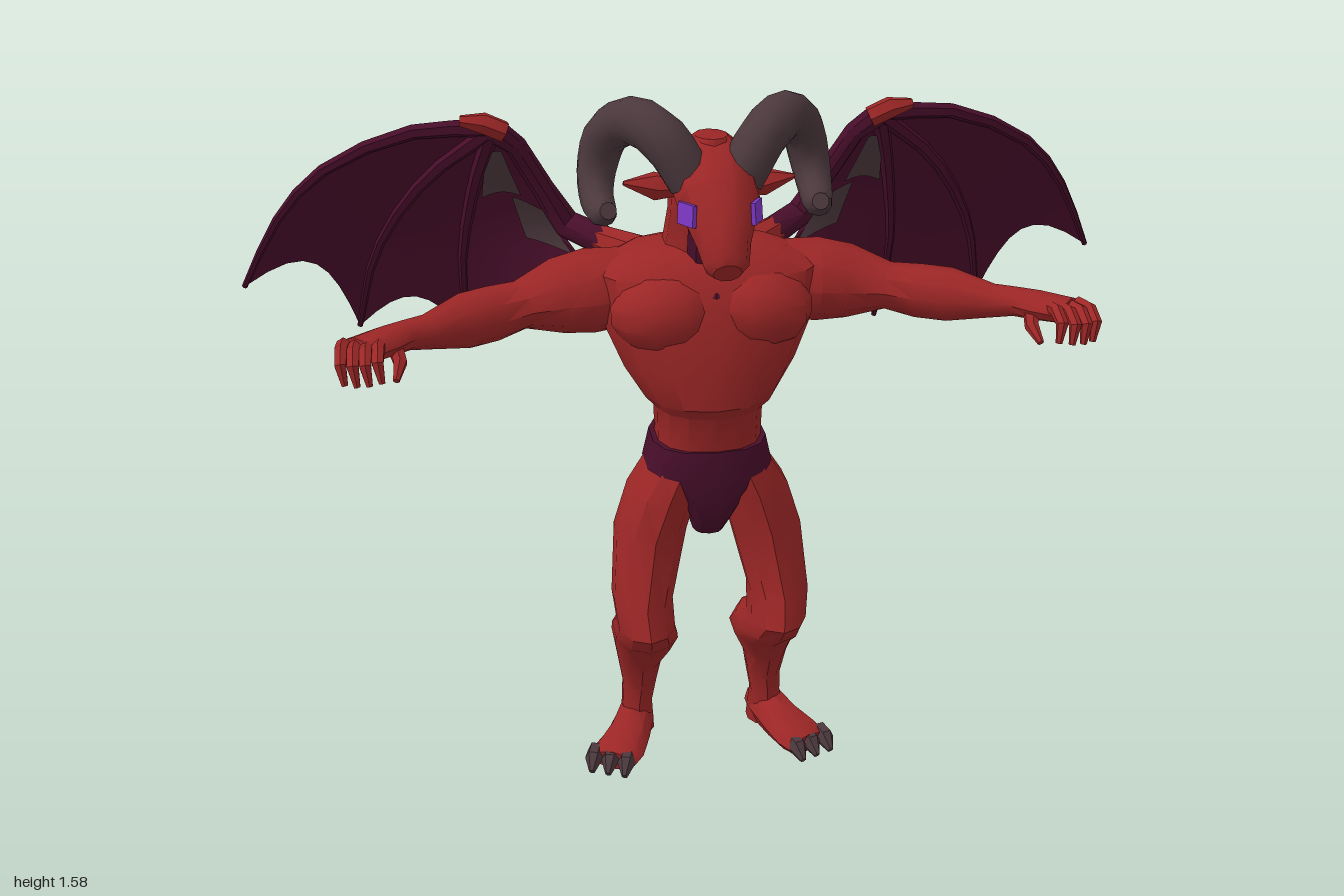
import * as THREE from 'three';
import { toCreasedNormals } from 'three/addons/utils/BufferGeometryUtils.js';

const V = (x, y, z) => new THREE.Vector3(x, y, z);
const X = V(1, 0, 0), Y = V(0, 1, 0), Z = V(0, 0, 1);

function material(name, color, side = THREE.FrontSide) {
  const m = new THREE.MeshStandardMaterial({ color, side });
  m.name = name;
  return m;
}

// Closed skin over a list of equal rings, capped at both ends
function loft(rings) {
  const n = rings[0].length, last = rings.length - 1, pos = [], idx = [];
  rings.forEach(r => r.forEach(p => pos.push(p.x, p.y, p.z)));
  for (const r of [rings[0], rings[last]]) {
    const c = r.reduce((s, p) => s.add(p), V(0, 0, 0)).divideScalar(n);
    pos.push(c.x, c.y, c.z);
  }
  const c0 = n * (last + 1);
  for (let j = 0; j < n; j++) {
    const k = (j + 1) % n;
    for (let i = 0; i < last; i++) {
      const a = i * n + j, b = i * n + k;
      idx.push(a, b, b + n, a, b + n, a + n);
    }
    idx.push(c0, k, j, c0 + 1, last * n + j, last * n + k);
  }
  const g = new THREE.BufferGeometry();
  g.setAttribute('position', new THREE.Float32BufferAttribute(pos, 3));
  g.setIndex(idx);
  return g;
}

// Upright form from level sections: [y, cx, cz, rx, rz], bottom to top
function column(rows, n = 12, power = 1) {
  const f = v => Math.sign(v) * Math.abs(v) ** power;
  return loft(rows.map(([y, cx, cz, rx, rz]) => Array.from({ length: n }, (_, j) => {
    const a = (j / n) * Math.PI * 2;
    return V(cx + rx * f(Math.sin(a)), y, cz + rz * f(Math.cos(a)));
  })));
}

// Form along a path: [x, y, z, side radius, up radius]
function limb(rows, n = 8, up = Y) {
  const P = rows.map(r => V(r[0], r[1], r[2]));
  return loft(rows.map(([, , , ra, rb = ra], i) => {
    const t = P[Math.min(i + 1, P.length - 1)].clone().sub(P[Math.max(i - 1, 0)]).normalize();
    const u = up.clone().cross(t).normalize(), v = t.clone().cross(u);
    return Array.from({ length: n }, (_, j) => {
      const a = (j / n) * Math.PI * 2;
      return P[i].clone().addScaledVector(u, ra * Math.cos(a)).addScaledVector(v, rb * Math.sin(a));
    });
  }));
}

// Resample limb rows along a smooth curve
function smooth(rows, n) {
  const c = new THREE.CatmullRomCurve3(rows.map(r => V(r[0], r[1], r[2])));
  const w = new THREE.CatmullRomCurve3(rows.map((r, i) => V(r[3], i, 0)));
  return Array.from({ length: n + 1 }, (_, i) => [...c.getPoint(i / n).toArray(), w.getPoint(i / n).x]);
}

// Membrane between two curves with a scalloped free edge
function panel(A, B, scallop, s0 = 0, s1 = 1, t0 = 0, t1 = 1, lift = 0) {
  const N = 8, pos = [], idx = [];
  for (let i = 0; i <= N; i++) for (let j = 0; j <= N; j++) {
    const s = s0 + (s1 - s0) * i / N;
    const t = (t0 + (t1 - t0) * j / N) * (1 - scallop * 4 * s * (1 - s));
    const p = A.getPoint(t).lerp(B.getPoint(t), s);
    pos.push(p.x, p.y, p.z + lift);
    if (i < N && j < N) {
      const a = i * (N + 1) + j, b = a + N + 1;
      idx.push(a, a + 1, b + 1, a, b + 1, b);
    }
  }
  const g = new THREE.BufferGeometry();
  g.setAttribute('position', new THREE.Float32BufferAttribute(pos, 3));
  g.setIndex(idx);
  return g;
}

export function createModel() {
  const root = new THREE.Group();
  root.name = 'hornedDemon';
  const skin = material('red skin', 0x9c2626);
  const dark = material('dark wine', 0x480e2a, THREE.DoubleSide);
  const horn = material('horn grey', 0x4b383d, THREE.DoubleSide);
  const violet = material('violet eyes', 0x7c38c4);

  const add = (name, geo, mat) => {
    const m = new THREE.Mesh(toCreasedNormals(geo, 0.7), mat);
    m.name = name;
    root.add(m);
  };
  const pair = (name, geo, mat) => {
    const other = geo.clone().scale(-1, 1, 1);
    other.index.array.reverse();
    add(name + 'Left', geo, mat);
    add(name + 'Right', other, mat);
  };

  // Torso, chest and neck
  add('torso', column([
    [0.74, 0, 0.075, 0.118, 0.11], [0.82, 0, 0.085, 0.116, 0.115], [0.9, 0, 0.09, 0.118, 0.118],
    [0.93, 0, 0.09, 0.145, 0.147], [1.0, 0, 0.075, 0.19, 0.16], [1.08, 0, 0.06, 0.225, 0.168],
    [1.15, 0, 0.05, 0.24, 0.158], [1.2, 0, 0.045, 0.25, 0.142], [1.24, 0, 0.045, 0.17, 0.105],
    [1.255, 0, 0.05, 0.1, 0.07]], 14, 0.85), skin);
  pair('chestMuscle', new THREE.SphereGeometry(1, 10, 7).scale(0.118, 0.088, 0.09).translate(0.1, 1.125, 0.145), skin);
  add('neck', column([
    [1.16, 0, 0.04, 0.12, 0.12], [1.24, 0, 0.05, 0.095, 0.088], [1.33, 0, 0.08, 0.085, 0.075],
    [1.42, 0, 0.09, 0.082, 0.08], [1.475, 0, 0.11, 0.065, 0.07], [1.5, 0, 0.125, 0.035, 0.045]], 10), skin);
  add('throat', column([
    [1.17, 0, 0.15, 0.03, 0.055], [1.22, 0, 0.125, 0.05, 0.035], [1.31, 0, 0.14, 0.05, 0.035]], 8), dark);

  // Head, ears and eyes
  add('head', limb([
    [0, 1.42, 0.05, 0.06, 0.055], [0, 1.42, 0.13, 0.092, 0.085], [0, 1.385, 0.225, 0.086, 0.08],
    [0, 1.315, 0.285, 0.056, 0.056], [0, 1.28, 0.322, 0.046, 0.042], [0, 1.27, 0.335, 0.03, 0.028]], 10), skin);
  pair('ear', limb([
    [0.07, 1.385, 0.1, 0.025, 0.02], [0.115, 1.39, 0.105, 0.034, 0.03], [0.18, 1.4, 0.11, 0.005, 0.005]], 6), skin);
  const facing = new THREE.Quaternion().setFromUnitVectors(Z, V(0.9, 0.08, 0.42).normalize());
  pair('eye', new THREE.BoxGeometry(0.055, 0.045, 0.009).applyQuaternion(facing).translate(0.071, 1.374, 0.264), violet);

  // Curled horns
  pair('horn', limb(smooth([
    [0.05, 1.42, 0.18, 0.05], [0.1, 1.5, 0.165, 0.051], [0.155, 1.53, 0.11, 0.05], [0.205, 1.49, 0.05, 0.047],
    [0.226, 1.42, 0.038, 0.043], [0.232, 1.367, 0.07, 0.037], [0.227, 1.347, 0.13, 0.031],
    [0.22, 1.365, 0.185, 0.018]], 20), 10, X), horn);

  // Arms, hands and fingers
  pair('arm', limb([
    [0.16, 1.15, 0.03, 0.08, 0.085], [0.25, 1.145, 0.035, 0.1, 0.09], [0.32, 1.14, 0.045, 0.085, 0.08],
    [0.4, 1.135, 0.075, 0.063, 0.05], [0.46, 1.13, 0.105, 0.062, 0.058], [0.52, 1.13, 0.14, 0.058, 0.058],
    [0.6, 1.13, 0.195, 0.037, 0.036], [0.64, 1.135, 0.22, 0.034, 0.031], [0.68, 1.135, 0.25, 0.046, 0.03],
    [0.735, 1.135, 0.295, 0.048, 0.026]], 10), skin);
  for (let i = 0; i < 4; i++) {
    const x = 0.692 + 0.024 * i, z = (i === 0 || i === 3) ? -0.012 : 0;
    pair('finger' + (i + 1), limb([
      [x, 1.14, 0.28 + z, 0.015], [x + 0.004, 1.148, 0.335 + z, 0.014], [x + 0.006, 1.13, 0.37 + z, 0.013],
      [x, 1.09, 0.375 + z, 0.007]], 6, X), skin);
  }
  pair('thumb', limb([
    [0.665, 1.13, 0.255, 0.018], [0.655, 1.105, 0.295, 0.015], [0.665, 1.08, 0.33, 0.007]], 6, X), skin);

  // Legs, feet and toe claws
  pair('leg', column([
    [0.015, 0.155, -0.012, 0.042, 0.048], [0.1, 0.155, 0, 0.036, 0.044], [0.15, 0.15, 0.003, 0.04, 0.048],
    [0.22, 0.15, 0.012, 0.052, 0.072], [0.3, 0.14, 0.042, 0.077, 0.115], [0.34, 0.145, 0.085, 0.074, 0.125],
    [0.385, 0.15, 0.145, 0.066, 0.1], [0.45, 0.155, 0.125, 0.069, 0.096], [0.6, 0.13, 0.085, 0.082, 0.1],
    [0.7, 0.1, 0.085, 0.08, 0.112], [0.78, 0.065, 0.08, 0.062, 0.11]], 10), skin);
  pair('foot', limb([
    [0.15, 0.04, -0.055, 0.035, 0.036], [0.16, 0.05, 0, 0.045, 0.05], [0.185, 0.044, 0.07, 0.052, 0.042],
    [0.215, 0.036, 0.125, 0.062, 0.034], [0.23, 0.03, 0.155, 0.054, 0.026]], 8), skin);
  for (let i = 0; i < 3; i++) {
    const x = 0.195 + 0.036 * i, z = 0.145 - 0.016 * i;
    pair('toeClaw' + (i + 1), limb([
      [x, 0.032, z, 0.02, 0.026], [x + 0.008, 0.034, z + 0.03, 0.021, 0.024],
      [x + 0.016, 0.014, z + 0.056, 0.007, 0.01]], 6), horn);
  }

  // Briefs
  add('briefs', column([
    [0.59, 0, 0.075, 0.035, 0.055], [0.64, 0, 0.07, 0.05, 0.12], [0.7, 0, 0.075, 0.085, 0.13],
    [0.755, 0, 0.078, 0.142, 0.128], [0.82, 0, 0.08, 0.127, 0.124]], 14, 0.75), dark);

  // Wings: root, arm, finger bones, membrane
  const wrist = [0.43, 1.455, -0.165];
  pair('wingRoot', limb([
    [0.06, 1.16, -0.05, 0.05], [0.13, 1.175, -0.125, 0.042], [0.2, 1.185, -0.195, 0.035]], 8), skin);
  pair('wingArm', limb([
    [0.19, 1.183, -0.185, 0.036], [0.27, 1.21, -0.245, 0.033], [0.32, 1.3, -0.225, 0.025],
    [0.38, 1.41, -0.19, 0.024], [...wrist, 0.028].flat()], 8, Z), dark);
  pair('wingClaw', limb([
    [0.405, 1.45, -0.155, 0.024], [0.45, 1.472, -0.15, 0.024], [0.5, 1.478, -0.155, 0.012]], 6), skin);
  const bones = [
    [[0.6, 1.45, -0.185], [0.8, 1.36, -0.235], [0.91, 1.24, -0.28], [1.0, 1.07, -0.33]],
    [[0.58, 1.33, -0.235], [0.7, 1.14, -0.325], [0.75, 0.94, -0.388]],
    [[0.475, 1.3, -0.245], [0.505, 1.1, -0.315], [0.49, 0.9, -0.375]],
    [[0.37, 1.35, -0.205], [0.28, 1.19, -0.24], [0.2, 1.09, -0.18], [0.12, 1.03, -0.09]],
  ].map(rows => new THREE.CatmullRomCurve3([wrist, ...rows].map(p => V(...p))));
  bones.slice(0, 3).forEach((c, i) => {
    const rows = Array.from({ length: 9 }, (_, k) => [...c.getPoint(k / 8).toArray(), 0.02 - 0.0017 * k]);
    pair('wingFinger' + (i + 1), limb(rows, 6, Z), dark);
  });
  [0.17, 0.16, 0.15].forEach((s, i) =>
    pair('wingMembrane' + (i + 1), panel(bones[i], bones[i + 1], s), dark));
  // Worn grey patches on the front of the membrane
  pair('upperWingPatch', panel(bones[2], bones[3], 0.15, 0.15, 0.75, 0.15, 0.4, 0.007), horn);
  pair('lowerWingPatch', panel(bones[2], bones[3], 0.15, 0.6, 0.95, 0.42, 0.62, 0.007), horn);

  return root;
}
